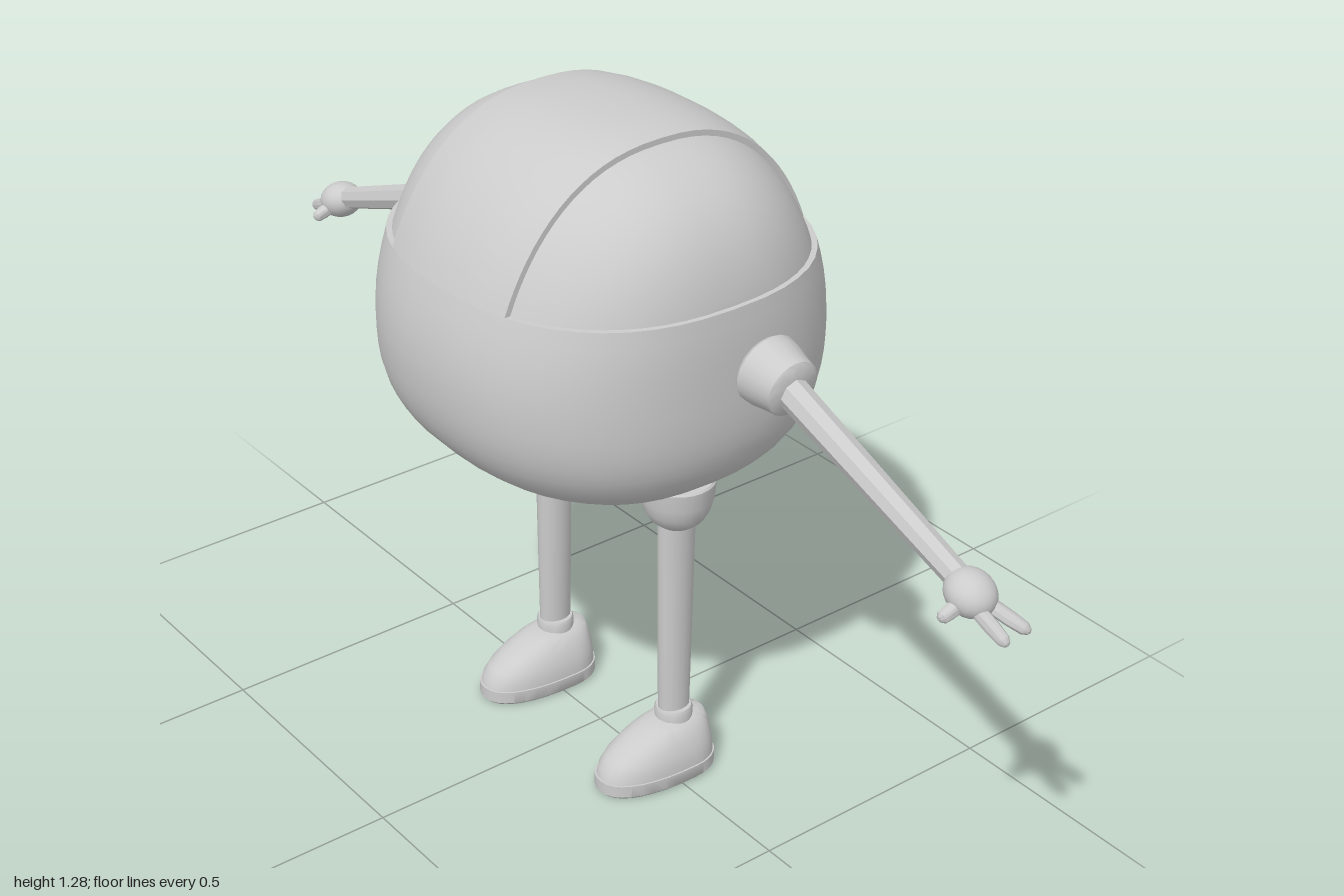
import * as THREE from 'three';
import { toCreasedNormals } from 'three/addons/utils/BufferGeometryUtils.js';

const grey = new THREE.MeshStandardMaterial({ color: 0xcccccc });
const flat = new THREE.MeshStandardMaterial({ color: 0xcccccc, flatShading: true });
const V = (x, y, z) => new THREE.Vector3(x, y, z);

function add(parent, name, geometry, material = grey) {
  const mesh = new THREE.Mesh(geometry, material);
  mesh.name = name;
  parent.add(mesh);
  return mesh;
}

// Skin a stack of closed rings and cap both ends.
function loft(rings, crease = 0.6) {
  const n = rings[0].length, pos = [], idx = [];
  rings.forEach(r => r.forEach(p => pos.push(p.x, p.y, p.z)));
  for (let i = 0; i < rings.length - 1; i++) {
    for (let j = 0; j < n; j++) {
      const k = (j + 1) % n;
      const a = i * n + j, b = i * n + k, c = b + n, d = a + n;
      idx.push(a, d, c, a, c, b);
    }
  }
  [0, rings.length - 1].forEach((r, end) => {
    const centre = V(0, 0, 0);
    rings[r].forEach(p => centre.addScaledVector(p, 1 / n));
    const m = pos.length / 3;
    pos.push(centre.x, centre.y, centre.z);
    for (let j = 0; j < n; j++) {
      const a = r * n + j, b = r * n + (j + 1) % n;
      idx.push(m, end ? b : a, end ? a : b);
    }
  });
  const g = new THREE.BufferGeometry();
  g.setAttribute('position', new THREE.Float32BufferAttribute(pos, 3));
  g.setIndex(idx);
  return toCreasedNormals(g, crease);
}

// Horizontal superellipse ring with its own front and back depth.
function ring(y, w, zf, zb, e, n = 48) {
  return Array.from({ length: n }, (_, i) => {
    const t = i / n * Math.PI * 2, c = Math.cos(t), s = Math.sin(t);
    const f = v => Math.sign(v) * Math.abs(v) ** (2 / e);
    return V(w * f(c), y, (s > 0 ? zf : zb) * f(s));
  });
}

// Body surface rules: half width and half depth at each height.
const MID = 0.9, TOP = 0.383, BOTTOM = 0.277, W = 0.373, D = 0.375, E = 2.4, SEAM = 1.04;
const root = (v, q) => Math.max(0, v) ** (1 / q);
function extent(y) {
  const u = Math.min(1, Math.abs(y - MID) / (y > MID ? TOP : BOTTOM));
  return y > MID
    ? { w: W * root(1 - u ** 3, 3), d: D * root(1 - u ** 1.6, 2.5) }
    : { w: W * root(1 - u ** 3.4, 3.4), d: D * root(1 - u ** 2.7, 2.7) };
}

// Upright slice of the upper body at x, running front to back over the top.
function arch(x, scale) {
  const xs = Math.abs(x) / scale, n = 32;
  const top = MID + TOP * scale * root(1 - (xs / W) ** 3, 3);
  return Array.from({ length: n + 1 }, (_, i) => {
    const t = i / n * Math.PI;
    const y = SEAM + Math.max(0, top - SEAM) * Math.sin(t);
    const { w, d } = extent(MID + (y - MID) / scale);
    const z = scale * d * root(1 - Math.min(1, xs / Math.max(w, 1e-4)) ** E, E);
    return V(x, y, i * 2 === n ? 0 : Math.sign(n - 2 * i) * z);
  });
}

function buildBody() {
  const body = new THREE.Group();
  body.name = 'body';

  // Lower bowl up to the seam
  const rows = [];
  for (let i = 0; i <= 14; i++) rows.push(MID - BOTTOM * Math.cos(i / 14 * Math.PI / 2));
  rows.push(0.94, 0.975, 1.01, SEAM);
  add(body, 'lowerShell', loft(rows.map(y => {
    const { w, d } = extent(y);
    return ring(y, w, d, d, E);
  })));

  // Raised centre band over the top
  const band = [-0.165, -0.12, -0.08, -0.04, 0, 0.04, 0.08, 0.12, 0.165];
  add(body, 'centreBand', loft(band.map(x => arch(x, 1))));

  // Recessed panels either side
  const s = 0.975;
  const edge = s * W * root(1 - ((SEAM - MID) / (TOP * s)) ** 3, 3);
  const stations = Array.from({ length: 13 }, (_, i) => 0.15 + (edge - 0.15) * Math.sin(i / 12 * Math.PI / 2));
  add(body, 'leftPanel', loft(stations.map(x => arch(x, s))));
  add(body, 'rightPanel', loft([...stations].reverse().map(x => arch(-x, s))));
  return body;
}

// Turned part whose profile [radius, fraction] runs between two points.
function turned(parent, name, profile, from, to, sides = 20, material = grey) {
  const axis = to.clone().sub(from), len = axis.length();
  let g = new THREE.LatheGeometry(profile.map(([r, f]) => new THREE.Vector2(r, f * len)), sides);
  if (!material.flatShading) g = toCreasedNormals(g, 0.7);
  const mesh = add(parent, name, g, material);
  mesh.position.copy(from);
  mesh.quaternion.setFromUnitVectors(V(0, 1, 0), axis.normalize());
  return mesh;
}

function buildArm() {
  const arm = new THREE.Group();
  arm.name = 'arm';
  const z = -0.03;
  turned(arm, 'shoulder', [[0, 0], [0.058, 0], [0.064, 0.1], [0.062, 0.35], [0.055, 0.7], [0.052, 0.94], [0.046, 1], [0, 1]],
    V(0.404, 0.94, z), V(0.482, 0.928, z));
  turned(arm, 'armTube', [[0, 0], [0.029, 0], [0.022, 1], [0, 1]],
    V(0.455, 0.93, z), V(0.885, 0.768, z), 8, flat);

  // Palm and fingers
  const palm = add(arm, 'palm', new THREE.SphereGeometry(1, 20, 14));
  palm.scale.set(0.046, 0.036, 0.042);
  palm.position.set(0.905, 0.758, z);
  palm.rotation.z = -0.36;
  const finger = [[0, 0], [0.013, 0], [0.013, 0.6], [0.011, 0.88], [0.006, 0.97], [0, 1]];
  [
    ['innerFinger', V(0.915, 0.75, -0.02), V(1, 0.712, -0.022)],
    ['outerFinger', V(0.915, 0.75, -0.04), V(0.995, 0.712, -0.076)],
    ['thumb', V(0.908, 0.752, -0.02), V(0.905, 0.733, 0.036)],
    ['backKnuckle', V(0.9, 0.755, -0.04), V(0.882, 0.748, -0.08)],
  ].forEach(([name, a, b]) => turned(arm, name, finger, a, b, 10));
  return arm;
}

function buildLeg() {
  const leg = new THREE.Group();
  leg.name = 'leg';
  const x = 0.185, z = -0.03;
  turned(leg, 'hipCup', [[0, 0], [0.034, 0], [0.05, 0.14], [0.061, 0.35], [0.067, 0.6], [0.07, 0.96], [0.067, 1], [0, 1]],
    V(x, 0.53, z), V(x, 0.625, z), 24);
  turned(leg, 'legTube', [[0, 0], [0.032, 0], [0.038, 1], [0, 1]],
    V(x, 0.1, z), V(x, 0.545, z), 16).scale.x = 0.76;
  turned(leg, 'ankleCuff', [[0, 0], [0.035, 0], [0.036, 0.8], [0.033, 1], [0, 1]],
    V(x, 0.1, z), V(x, 0.132, z));

  // Shoe rows: height, half width, toe depth, heel depth
  const place = rows => loft(rows.map(([y, w, f, b]) =>
    ring(y, w, f - z, b, 2.3, 36).map(p => p.add(V(x, 0, z)))), 0.7);
  add(leg, 'sole', place([[0, 0.068, 0.136, 0.069], [0.006, 0.073, 0.142, 0.075], [0.03, 0.073, 0.142, 0.075]]));
  add(leg, 'shoe', place([[0.028, 0.07, 0.139, 0.073], [0.045, 0.069, 0.134, 0.072], [0.062, 0.065, 0.12, 0.071],
    [0.08, 0.058, 0.092, 0.069], [0.094, 0.05, 0.062, 0.067], [0.104, 0.041, 0.035, 0.063], [0.11, 0.03, 0.01, 0.05]]));
  return leg;
}

export function createModel() {
  const model = new THREE.Group();
  model.name = 'roundWalker';
  model.add(buildBody());
  for (const side of [1, -1]) {
    const limbs = new THREE.Group();
    limbs.name = side > 0 ? 'leftLimbs' : 'rightLimbs';
    limbs.add(buildArm(), buildLeg());
    limbs.scale.x = side;
    model.add(limbs);
  }
  return model;
}
